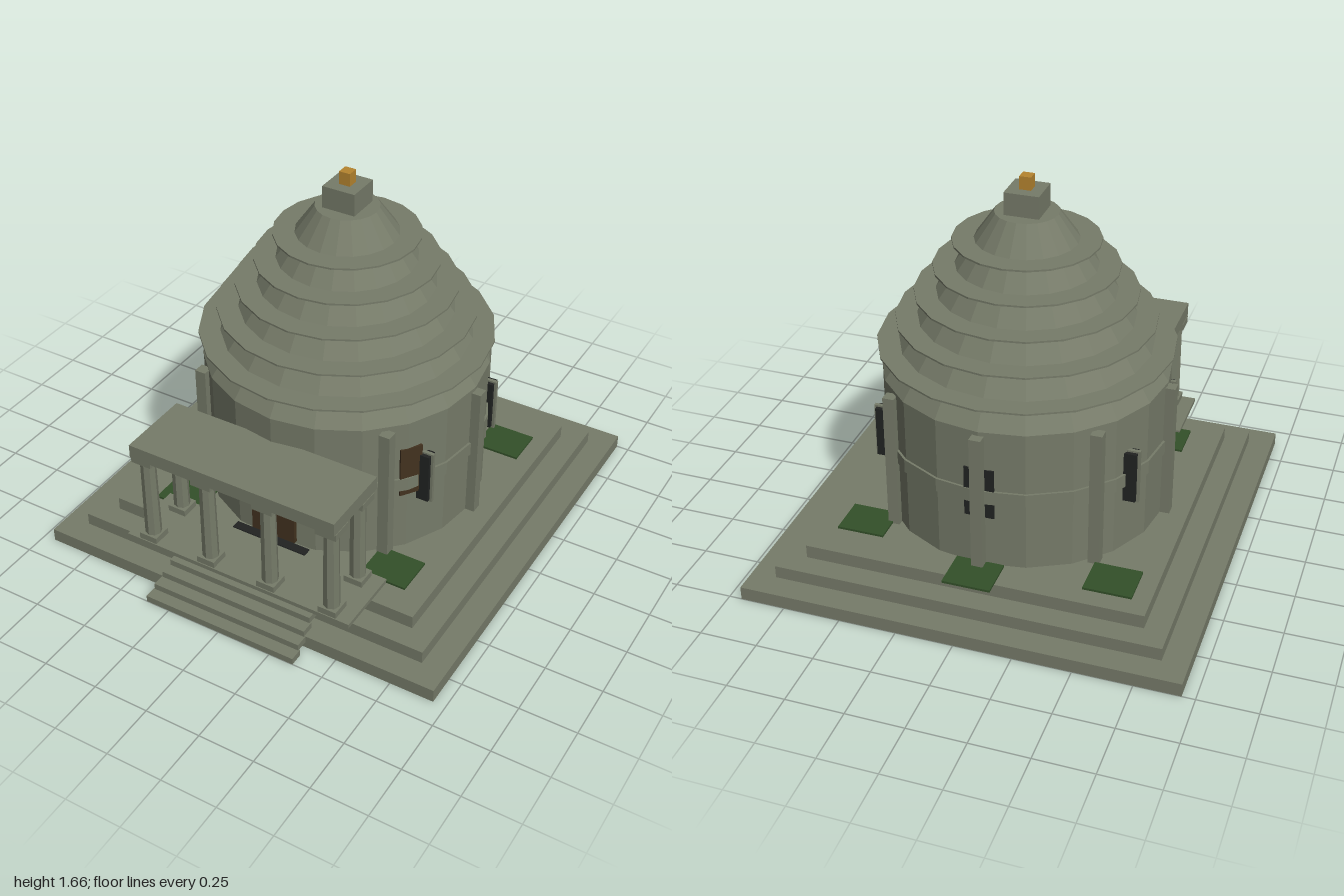
import * as THREE from 'three';

const mat = (name, color) => {
  const m = new THREE.MeshStandardMaterial({ color, flatShading: true });
  m.name = name;
  return m;
};

export function createModel() {
  const stone = mat('stone', 0x767b69);
  const wood = mat('wood', 0x42321f);
  const dark = mat('dark', 0x212322);
  const green = mat('grass', 0x335029);
  const gold = mat('gold', 0xb5842f);

  const CZ = -0.055; // centre of the round hall
  const SIDES = 20;
  const model = new THREE.Group();
  model.name = 'roundTemple';

  const add = (name, geo, material, x, y, z) => {
    const mesh = new THREE.Mesh(geo, material);
    mesh.name = name;
    mesh.position.set(x, y, z);
    model.add(mesh);
    return mesh;
  };
  // Box given by centre x/z, size, and bottom/top height
  const box = (name, material, x, z, w, d, y0, y1) =>
    add(name, new THREE.BoxGeometry(w, y1 - y0, d), material, x, (y0 + y1) / 2, z);
  const drum = (name, rTop, rBottom, y0, y1) =>
    add(name, new THREE.CylinderGeometry(rTop, rBottom, y1 - y0, SIDES), stone, 0, (y0 + y1) / 2, CZ);

  // Stepped plinth; the lowest tier has a dark underside
  const darkBelow = [stone, stone, stone, dark, stone, stone];
  [[0.945, 0, 0.06, darkBelow], [0.835, 0.06, 0.117, stone], [0.735, 0.117, 0.177, stone]].forEach(([h, y0, y1, m]) =>
    box('plinthTier', m, 0, CZ, h * 2, h * 2, y0, y1));

  // Front steps
  for (let i = 0; i < 6; i++) {
    box('frontStep', stone, 0, 0.97 - i * 0.053, 0.724 - i * 0.01, 0.06, i * 0.029, i * 0.029 + 0.03);
  }

  // Round hall, belt and tapering roof
  drum('hallWall', 0.617, 0.617, 0.177, 0.82);
  drum('wallBelt', 0.627, 0.627, 0.482, 0.543);
  drum('roof', 0.135, 0.62, 0.82, 1.51);
  for (let i = 0; i < 5; i++) {
    const y = 0.927 + i * 0.115;
    const r = 0.635 - i * 0.081;
    drum('roofRing', r, r, y - 0.004, y + 0.004);
  }

  // Finial
  box('finialBlock', stone, 0, CZ, 0.15, 0.15, 1.51, 1.608);
  box('finialTip', gold, 0, CZ, 0.05, 0.05, 1.608, 1.665);

  // Pilasters every 45 degrees, leaving the doorway free
  for (let i = 1; i < 8; i++) {
    const a = (i * Math.PI) / 4;
    box('pilaster', stone, 0.63 * Math.sin(a), CZ + 0.63 * Math.cos(a), 0.05, 0.05, 0.177, 0.8);
  }

  // Slit windows every 60 degrees, leaving the doorway free
  for (let i = 1; i < 6; i++) {
    const a = (i * Math.PI) / 3;
    const x = 0.59 * Math.sin(a);
    const z = CZ + 0.59 * Math.cos(a);
    box('windowPane', dark, x, z, 0.128, 0.05, 0.412, 0.642);
    box('windowFrame', stone, x, z, 0.15, 0.016, 0.403, 0.65);
  }

  // Door below and above the belt, and threshold
  box('doorLower', wood, 0, 0.545, 0.21, 0.04, 0.2, 0.482);
  box('doorUpper', wood, 0, 0.545, 0.21, 0.04, 0.543, 0.587);
  box('threshold', dark, 0, 0.585, 0.36, 0.04, 0.195, 0.201);

  // Porch floor and roof
  box('porchFloor', stone, 0, 0.71, 1.09, 0.31, 0.177, 0.196);
  box('porchRoof', stone, 0, 0.708, 0.97, 0.335, 0.64, 0.702);

  // Porch columns: four in front, two behind
  const shaft = new THREE.CylinderGeometry(0.033, 0.036, 0.39, 8);
  [[-0.44, 0.818], [-0.147, 0.818], [0.147, 0.818], [0.44, 0.818], [-0.44, 0.61], [0.44, 0.61]].forEach(([x, z]) => {
    box('columnBase', stone, x, z, 0.085, 0.085, 0.196, 0.225);
    add('columnShaft', shaft, stone, x, 0.415, z);
    box('columnCapital', stone, x, z, 0.095, 0.095, 0.608, 0.64);
  });

  // Mirrored panels set flat against the wall, and porch brackets
  const panelAngle = THREE.MathUtils.degToRad(55.5);
  for (const s of [-1, 1]) {
    const panel = box('sidePanel', wood, s * 0.609 * Math.sin(panelAngle), CZ + 0.609 * Math.cos(panelAngle),
      0.1, 0.022, 0.455, 0.692);
    panel.rotation.y = s * panelAngle;
    box('porchBracket', stone, s * 0.23, 0.675, 0.08, 0.05, 0.59, 0.64);
  }

  // Grass patches
  [[-0.555, -0.615], [0.555, -0.545], [0, -0.755], [-0.487, 0.5], [0.528, 0.468]].forEach(([x, z]) =>
    box('grassPatch', green, x, z, 0.207, 0.178, 0.177, 0.187));

  return model;
}
